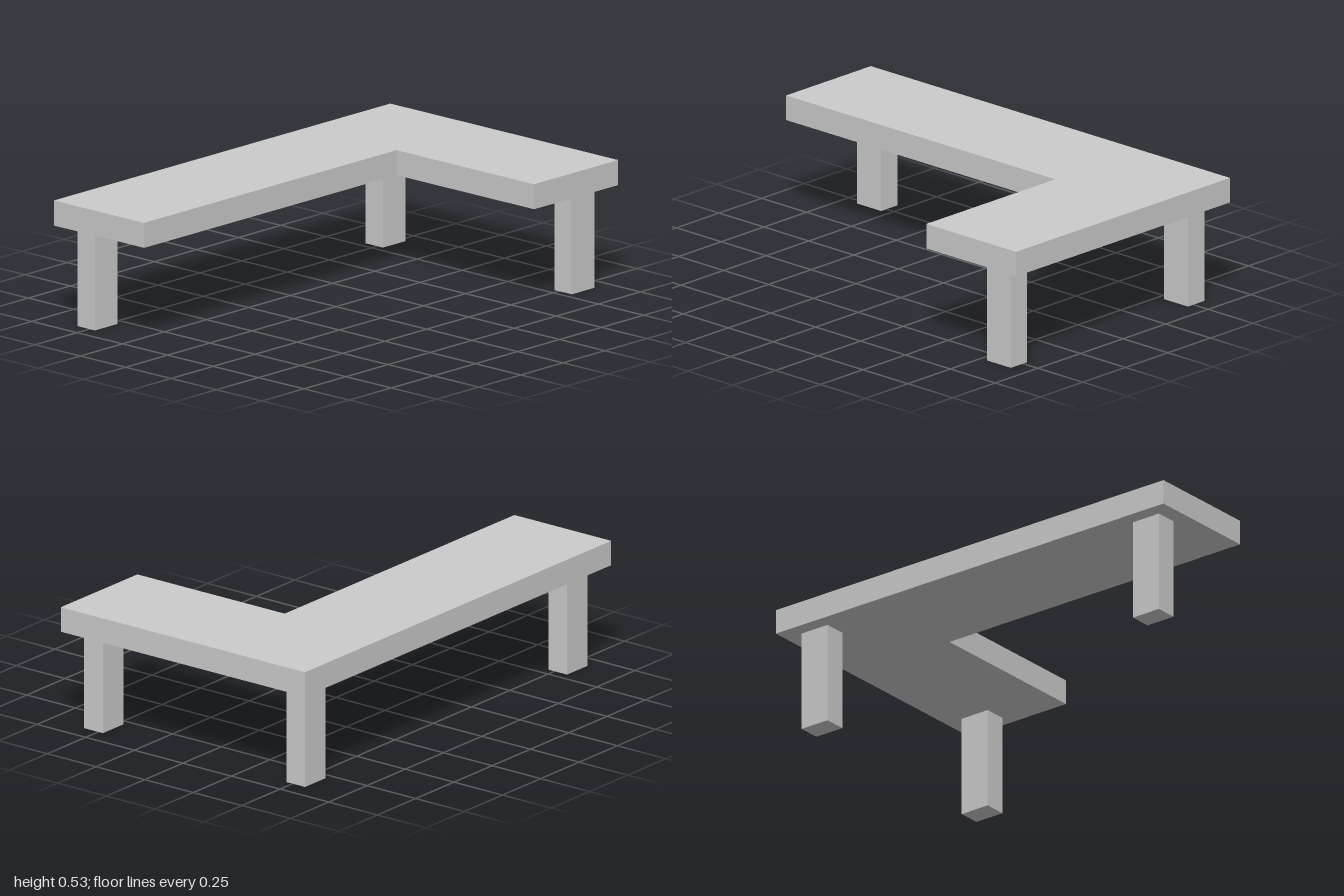
import * as THREE from 'three';

export function createModel() {
  const group = new THREE.Group();
  const material = new THREE.MeshStandardMaterial({ color: 0xcccccc, flatShading: true });
  const legHeight = 0.425, topThickness = 0.105;

  // L-shaped top, drawn in plan (shape y = -z) and laid flat
  const plan = new THREE.Shape([
    [-0.628, -1], [-0.13, -1], [-0.13, 0.5], [0.628, 0.5], [0.628, 1], [-0.628, 1],
  ].map(([x, y]) => new THREE.Vector2(x, y)));
  const topGeometry = new THREE.ExtrudeGeometry(plan, { depth: topThickness, bevelEnabled: false });
  topGeometry.rotateX(-Math.PI / 2);
  const top = new THREE.Mesh(topGeometry, material);
  top.name = 'tableTop';
  top.position.y = legHeight;
  group.add(top);

  // One leg near each end of the L and one at its outer corner
  const legGeometry = new THREE.BoxGeometry(0.096, legHeight, 0.134);
  const legs = [
    ['frontLeg', -0.517, 0.859],
    ['cornerLeg', -0.516, -0.851],
    ['backLeftLeg', 0.524, -0.851],
  ];
  for (const [name, x, z] of legs) {
    const leg = new THREE.Mesh(legGeometry, material);
    leg.name = name;
    leg.position.set(x, legHeight / 2, z);
    group.add(leg);
  }
  return group;
}
